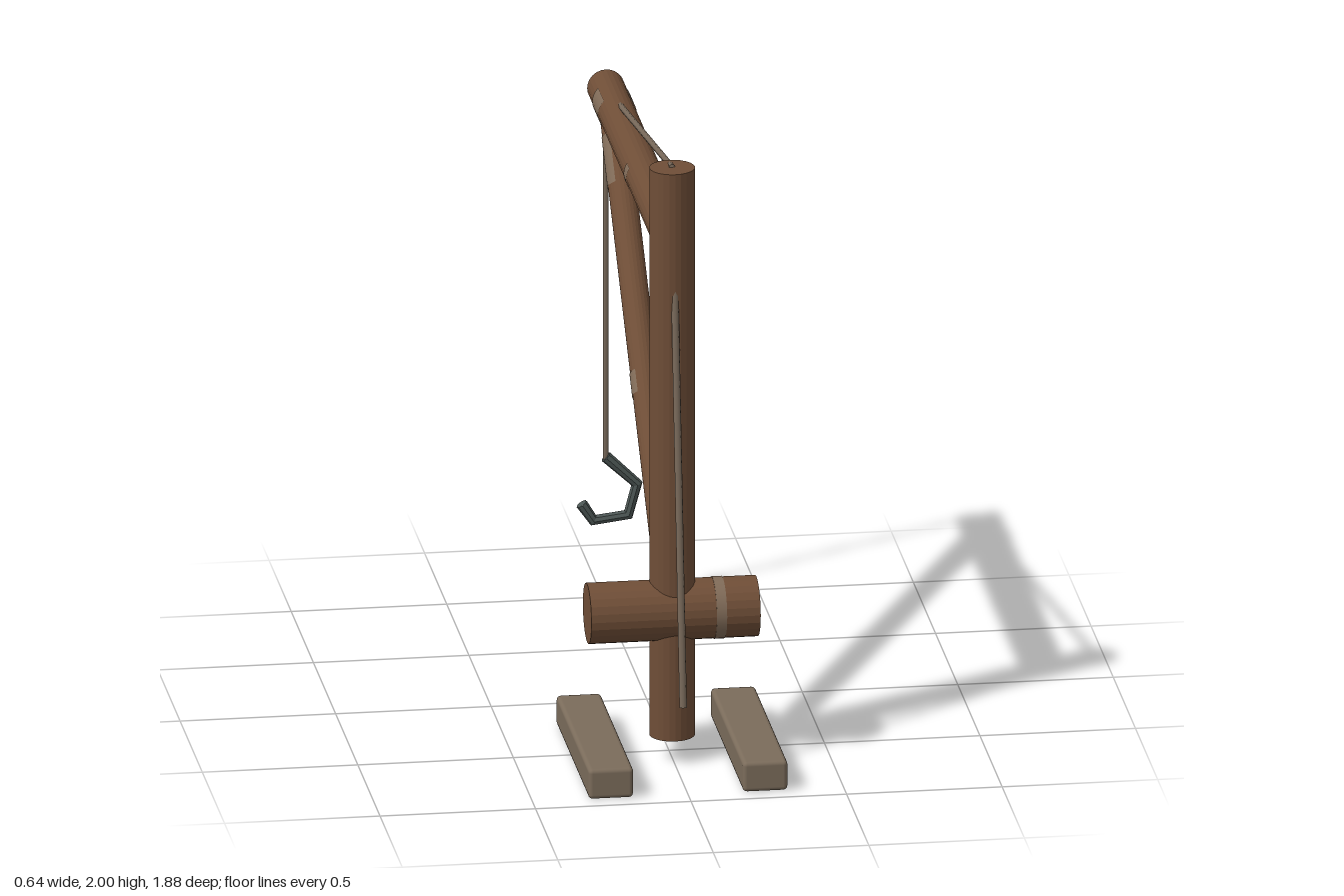
import * as THREE from 'three';
import { RoundedBoxGeometry } from 'three/addons/geometries/RoundedBoxGeometry.js';

const UP = new THREE.Vector3(0, 1, 0);
const v = (x, y, z) => new THREE.Vector3(x, y, z);

export function createModel() {
  const crane = new THREE.Group();
  crane.name = 'crane';

  const material = (name, color, options = {}) => {
    const m = new THREE.MeshStandardMaterial({ color, ...options });
    m.name = name;
    return m;
  };
  const wood = material('brown wood', 0x6f4e37, { flatShading: true });
  const paleWood = material('pale wood', 0x7b6c5b);
  const rope = material('rope', 0x78695a);
  const strapMat = material('strap', 0x806b58, { side: THREE.DoubleSide });
  const iron = material('iron', 0x4c5654, { flatShading: true });

  const add = (name, geometry, mat) => {
    const mesh = new THREE.Mesh(geometry, mat);
    mesh.name = name;
    crane.add(mesh);
    return mesh;
  };
  // Aim a y-aligned mesh from a to b
  const aim = (mesh, a, b) => {
    mesh.position.copy(a).lerp(b, 0.5);
    mesh.quaternion.setFromUnitVectors(UP, b.clone().sub(a).normalize());
    return mesh;
  };
  const rod = (name, a, b, r, mat, sides = 24) =>
    aim(add(name, new THREE.CylinderGeometry(r, r, a.distanceTo(b), sides), mat), a, b);
  // Thin plates wrapped round both sides of a beam
  const sideStraps = (name, a, b, r, arc) => {
    for (const s of [1, -1]) {
      const g = new THREE.CylinderGeometry(r, r, a.distanceTo(b), 8, 1, true, s * Math.PI / 2 - arc, 2 * arc);
      aim(add(name, g, strapMat), a, b);
    }
  };

  // Timber frame
  const mastZ = 0.573;
  rod('mast', v(0, 0.08, mastZ), v(0, 1.99, mastZ), 0.073, wood);
  rod('jib', v(0, 1.745, mastZ), v(0, 1.745, -0.92), 0.06, wood);
  const braceFoot = v(0, 0.5, mastZ), braceHead = v(0, 1.72, -0.75);
  rod('brace', braceFoot, braceHead, 0.045, wood);
  rod('drum', v(-0.273, 0.5, mastZ), v(0.271, 0.5, mastZ), 0.098, wood);

  // Straps on jib, brace and drum
  sideStraps('jibEndStrap', v(0, 1.745, -0.66), v(0, 1.745, -0.79), 0.062, 0.8);
  sideStraps('jibMiddleStrap', v(0, 1.745, -0.03), v(0, 1.745, -0.085), 0.062, 0.6);
  const onBrace = t => braceFoot.clone().lerp(braceHead, t);
  sideStraps('braceTopStrap', onBrace(0.85), onBrace(0.95), 0.047, 1.0);
  sideStraps('braceMiddleStrap', onBrace(0.43), onBrace(0.475), 0.047, 0.8);
  rod('drumStrap', v(0.13, 0.5, mastZ), v(0.163, 0.5, mastZ), 0.1, strapMat);

  // Ground beams
  for (const s of [1, -1]) {
    const beam = add('groundBeam', new RoundedBoxGeometry(0.144, 0.1, 0.74, 2, 0.014), paleWood);
    beam.position.set(s * 0.248, 0.05, 0.57);
  }

  // Ropes
  rod('jibStay', v(0, 1.99, mastZ), v(0, 1.775, -0.72), 0.01, rope, 8);
  rod('backStay', v(0, 1.98, 0.58), v(0, 0.255, 0.822), 0.012, rope, 8);
  rod('hoistRope', v(0, 1.75, -0.92), v(0, 0.49, -0.92), 0.009, rope, 8);

  // Angular hook: a tube stepping through the bend points
  const points = [v(0, 0.5, 0), v(0.1, 0.405, 0), v(0.072, 0.302, 0), v(-0.04, 0.288, 0), v(-0.078, 0.345, 0)];
  const curve = new THREE.CatmullRomCurve3(points);
  curve.getPointAt = curve.getPoint;
  curve.getTangentAt = curve.getTangent;
  const hook = add('hook', new THREE.TubeGeometry(curve, points.length - 1, 0.019, 8), iron);
  hook.position.z = -0.92;
  for (const t of [0, 1]) {
    const cap = add('hookEnd', new THREE.CircleGeometry(0.019, 8), iron);
    cap.position.copy(curve.getPoint(t)).setZ(-0.92);
    cap.quaternion.setFromUnitVectors(v(0, 0, 1), curve.getTangent(t).multiplyScalar(t ? 1 : -1));
  }

  return crane;
}
